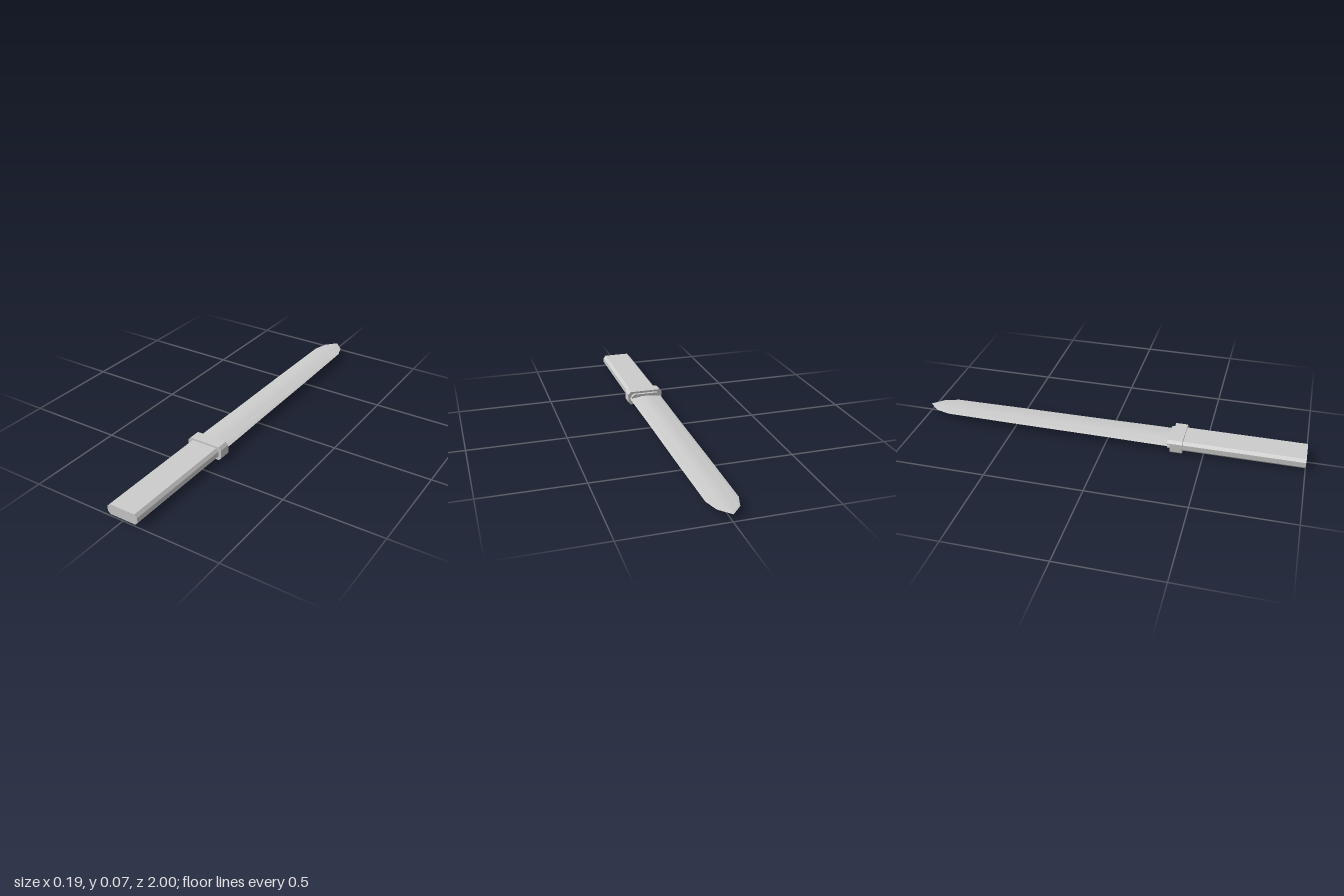
import * as THREE from 'three';

const MID = 0.037; // height of the centre line

// Flat bar with chamfered long edges, running along z
function chamferedBar(name, hx, hy, c, z0, z1, material) {
  const shape = new THREE.Shape([
    [hx - c, -hy], [hx, -hy + c], [hx, hy - c], [hx - c, hy],
    [-hx + c, hy], [-hx, hy - c], [-hx, -hy + c], [-hx + c, -hy],
  ].map(([x, y]) => new THREE.Vector2(x, y)));
  const geometry = new THREE.ExtrudeGeometry(shape, { depth: z1 - z0, bevelEnabled: false });
  const mesh = new THREE.Mesh(geometry, material);
  mesh.name = name;
  mesh.position.set(0, MID, z0);
  return mesh;
}

// One smooth blade face; side is +1 for the top and -1 for the underside
function bladeFace(side) {
  // Stations: z, half width, half thickness
  const stations = [
    [0.36, 0.087, 0.013], [0.2, 0.086, 0.0125], [0.0, 0.083, 0.012],
    [-0.48, 0.08, 0.01], [-0.7, 0.077, 0.009], [-0.87, 0.075, 0.008],
    [-0.945, 0.052, 0.005], [-1, 0.001, 0.0005],
  ];
  // Across the blade: fraction of width, fraction of thickness
  const half = [[0, 1], [0.22, 0.97], [0.42, 0.76], [0.62, 0.55], [0.82, 0.42], [1, 0]];
  const section = [...half.slice(1).reverse().map(([x, y]) => [-x, y]), ...half];
  const n = section.length;
  const positions = [], index = [];
  stations.forEach(([z, w, t], i) => {
    section.forEach(([x, y], j) => {
      positions.push(x * w, MID + side * y * t, z);
      if (i === 0 || j === 0) return;
      const d = i * n + j, c = d - 1, b = d - n, a = b - 1;
      if (side > 0) index.push(a, b, d, a, d, c);
      else index.push(a, d, b, a, c, d);
    });
  });
  const geometry = new THREE.BufferGeometry();
  geometry.setAttribute('position', new THREE.Float32BufferAttribute(positions, 3));
  geometry.setIndex(index);
  geometry.computeVertexNormals();
  return geometry;
}

export function createModel() {
  const model = new THREE.Group();
  model.name = 'shortSword';
  const steel = new THREE.MeshStandardMaterial({ color: 0xcccccc });
  steel.name = 'pale grey';

  // Grip, guard and the small collar in front of it
  model.add(
    chamferedBar('handle', 0.082, 0.027, 0.014, 0.37, 1, steel),
    chamferedBar('guard', 0.096, 0.036, 0.014, 0.333, 0.395, steel),
    chamferedBar('collar', 0.08, 0.025, 0.014, 0.317, 0.35, steel),
  );

  // Double-edged blade
  const blade = new THREE.Group();
  blade.name = 'blade';
  for (const [name, side] of [['bladeTop', 1], ['bladeUnderside', -1]]) {
    const mesh = new THREE.Mesh(bladeFace(side), steel);
    mesh.name = name;
    blade.add(mesh);
  }
  model.add(blade);
  return model;
}
